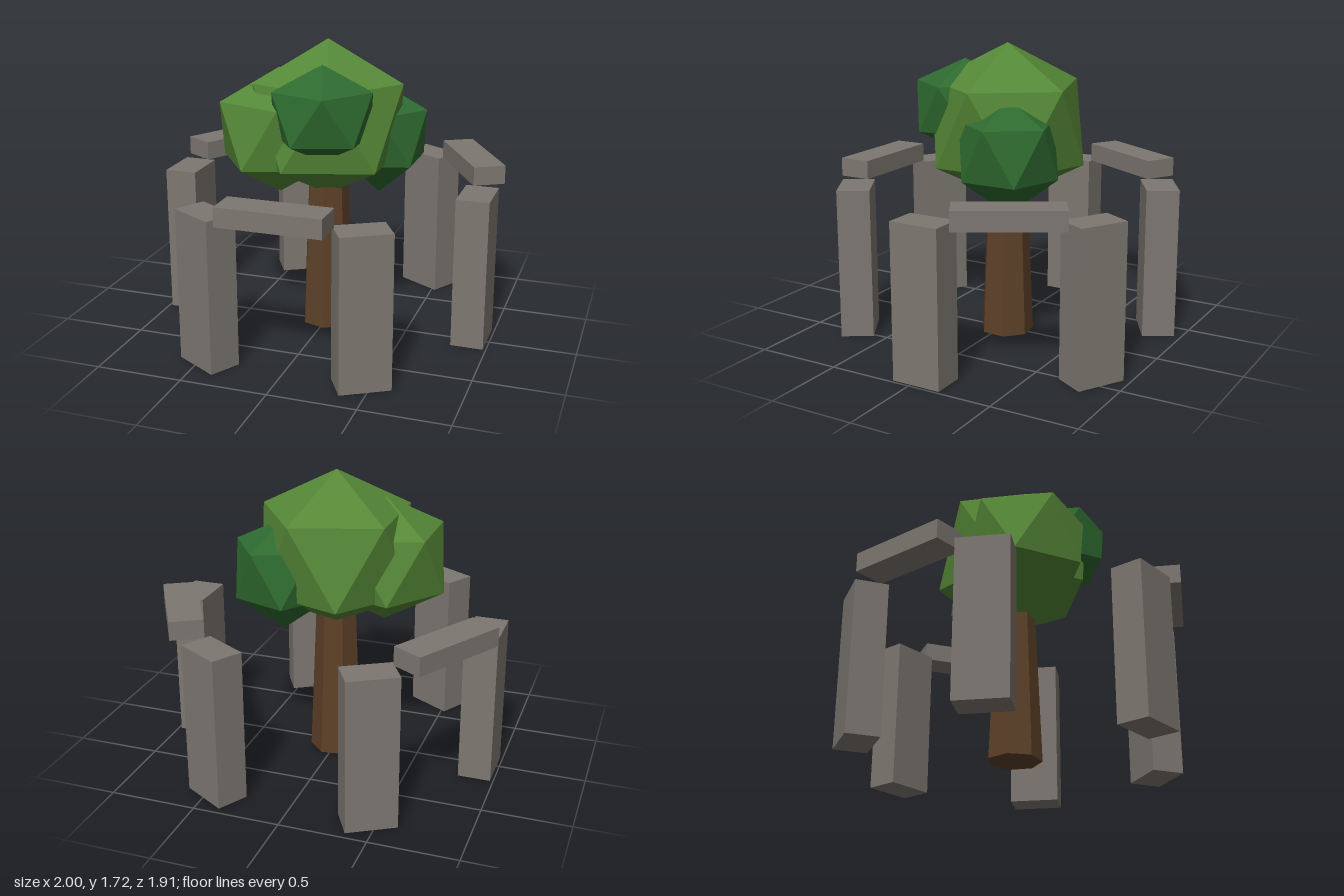
import * as THREE from 'three';

const mat = (name, color, flatShading = true) => {
  const m = new THREE.MeshStandardMaterial({ color, flatShading });
  m.name = name;
  return m;
};

// Faceted leaf clump: two staggered five-point rings between a top and a bottom point
function clumpGeometry(x, z, radius, top, ringHigh, ringLow, bottom) {
  const step = (Math.PI * 2) / 5;
  const ring = (y, turn) => Array.from({ length: 5 }, (_, i) => {
    const a = step * (i + turn);
    return [x + radius * Math.cos(a), y, z + radius * Math.sin(a)];
  });
  const up = ring(ringHigh, 0), low = ring(ringLow, 0.5);
  const apex = [x, top, z], base = [x, bottom, z];
  const pos = [];
  for (let i = 0; i < 5; i++) {
    const j = (i + 1) % 5;
    pos.push(...apex, ...up[j], ...up[i]);
    pos.push(...up[i], ...up[j], ...low[i]);
    pos.push(...low[i], ...up[j], ...low[j]);
    pos.push(...base, ...low[i], ...low[j]);
  }
  const g = new THREE.BufferGeometry();
  g.setAttribute('position', new THREE.Float32BufferAttribute(pos, 3));
  g.computeVertexNormals();
  return g;
}

export function createModel() {
  const model = new THREE.Group();
  model.name = 'treeInStoneCircle';
  const stone = mat('stone grey', 0x7d7770);
  const bark = mat('bark brown', 0x5c4028);
  const leaf = mat('leaf green', 0x558837);
  const darkLeaf = mat('dark leaf green', 0x2e6a2f);
  const centreZ = -0.035;

  const add = (name, geometry, material, parent = model) => {
    const m = new THREE.Mesh(geometry, material);
    m.name = name;
    parent.add(m);
    return m;
  };

  // Stone circle: blocks face the centre
  const circle = new THREE.Group();
  circle.name = 'stoneCircle';
  circle.position.z = centreZ;
  model.add(circle);
  const block = (name, angle, w, h, y) => {
    const b = add(name, new THREE.BoxGeometry(w, h, 0.19), stone, circle);
    b.position.set(0.888 * Math.sin(angle), y, 0.888 * Math.cos(angle));
    b.rotation.y = angle;
  };
  for (let i = 0; i < 6; i++) {
    block('standingStone', Math.PI / 6 + (i * Math.PI) / 3, 0.29, 0.887, 0.4435);
  }
  // Lintels bridge every other gap
  for (let i = 0; i < 3; i++) {
    block('lintel', (i * Math.PI * 2) / 3, 0.595, 0.11, 0.942);
  }

  // Tapered seven-sided trunk
  const trunk = add('trunk', new THREE.CylinderGeometry(0.118, 0.157, 0.94, 7), bark);
  trunk.position.set(0, 0.47, centreZ + 0.005);
  trunk.rotation.y = 0.136;

  // Crown
  add('mainCrown', clumpGeometry(0, -0.033, 0.445, 1.72, 1.487, 1.027, 0.80), leaf);
  add('rightCrown', clumpGeometry(-0.26, 0.07, 0.35, 1.56, 1.38, 1.02, 0.82), leaf);
  add('leftCrown', clumpGeometry(0.267, -0.19, 0.28, 1.45, 1.31, 1.005, 0.79), darkLeaf);
  add('frontCrown', clumpGeometry(0.05, 0.22, 0.29, 1.62, 1.485, 1.21, 1.07), darkLeaf);

  return model;
}
